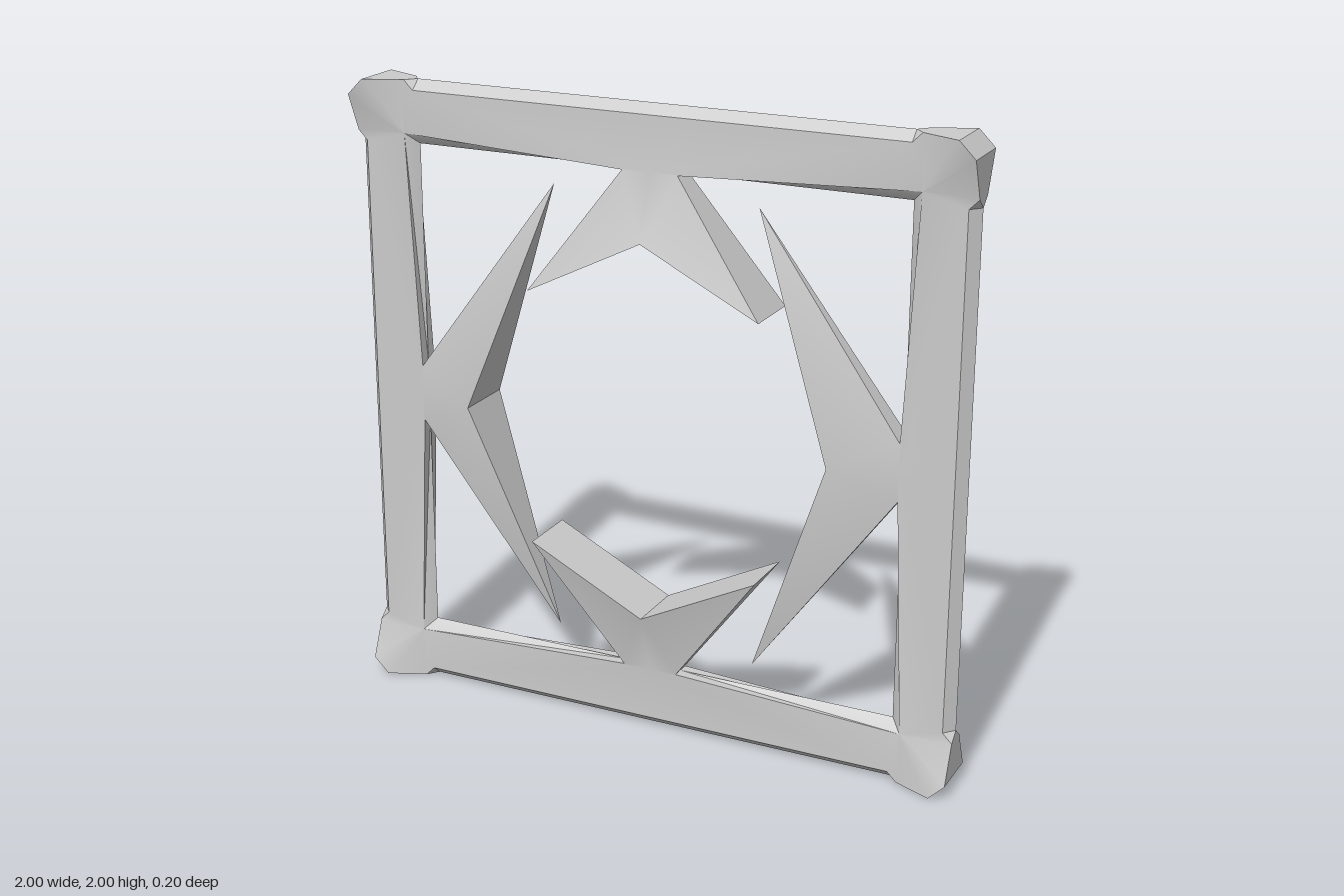
import * as THREE from 'three';
import { toCreasedNormals } from 'three/addons/utils/BufferGeometryUtils.js';

const Z = 0.035; // half thickness of the frame
const mid = ([x, y]) => [x, y, 0]; // point pushed onto the middle plane
const swap = ([x, y, z]) => [y, x, z];

// Shared frame points for the +x +y quadrant, front half
const A = [0.95, 1, 0.085], B = [0.83, 1, Z], C = [0.8, 0.97, Z], D = [0.835, 0.835, Z];
const E = [0.8, 1, 0], F = [0.8, 0.8, 0];
const root = [0.09, 0.8, Z], rootMid = [0, 0.8, Z];

// Flared corner block with a chamfered outer edge
const [A2, B2, C2, E2] = [A, B, C, E].map(swap);
const cornerFaces = [
  [D, C2, B2, A2, A, B, C],
  [B, A, mid(A), E],
  [A, A2, mid(A2), mid(A)],
  [A2, B2, E2, mid(A2)],
  [C, B, E],
  [B2, C2, E2],
];

// Half of a bar with ridged outer and inner edges
const M = [0, 0.97, Z];
const barFaces = [
  [rootMid, root, D, C, M],
  [M, C, E, [0, 1, 0]],
  [D, root, mid(root), F],
];

// Half of a swept spike growing inward from a bar
function spikeFaces(tip) {
  const apex = [0, 0.6, 0.1];
  return [
    [apex, tip, root, rootMid],
    [root, tip, mid(tip), mid(root)],
    [tip, apex, mid(apex), mid(tip)],
  ];
}

// Fan-triangulate faces, mirrored by sx, sy and in z, optionally swapping x and y
function addFaces(out, faces, sx, sy, turned = false) {
  for (const sz of [1, -1]) {
    const flip = (sx * sy * sz < 0) !== turned;
    for (const face of faces) {
      const pts = face.map((p) => {
        const [x, y, z] = turned ? swap(p) : p;
        return new THREE.Vector3(x * sx, y * sy + 1, z * sz);
      });
      for (let i = 1; i < pts.length - 1; i++) {
        const tri = flip ? [pts[0], pts[i + 1], pts[i]] : [pts[0], pts[i], pts[i + 1]];
        if (new THREE.Triangle(...tri).getArea() < 1e-7) continue;
        out.push(...tri);
      }
    }
  }
}

export function createModel() {
  const group = new THREE.Group();
  const material = new THREE.MeshStandardMaterial({ color: 0xcccccc });
  const points = [];
  const parts = [];
  const part = (name, build) => {
    const start = points.length;
    build();
    parts.push({ name, start, end: points.length });
  };

  for (const sy of [1, -1]) for (const sx of [1, -1]) {
    const name = (sy > 0 ? 'top' : 'bottom') + (sx > 0 ? 'Left' : 'Right') + 'Corner';
    part(name, () => addFaces(points, cornerFaces, sx, sy));
  }

  const shortSpike = spikeFaces([0.38, 0.41, 0.1]);
  const longSpike = spikeFaces([0.725, 0.335, 0]);
  for (const s of [1, -1]) {
    const h = s > 0 ? 'top' : 'bottom', v = s > 0 ? 'left' : 'right';
    const both = (faces, turned) => [1, -1].forEach((m) =>
      turned ? addFaces(points, faces, s, m, true) : addFaces(points, faces, m, s));
    part(h + 'Bar', () => both(barFaces, false));
    part(v + 'Bar', () => both(barFaces, true));
    part(h + 'Spike', () => both(shortSpike, false));
    part(v + 'Spike', () => both(longSpike, true));
  }

  // Normals are computed across all parts so the seams blend, then split per part
  const whole = toCreasedNormals(new THREE.BufferGeometry().setFromPoints(points), 0.5);
  for (const { name, start, end } of parts) {
    const geo = new THREE.BufferGeometry();
    for (const key of ['position', 'normal']) {
      const data = whole.getAttribute(key).array.slice(start * 3, end * 3);
      geo.setAttribute(key, new THREE.BufferAttribute(data, 3));
    }
    const mesh = new THREE.Mesh(geo, material);
    mesh.name = name;
    group.add(mesh);
  }
  return group;
}
